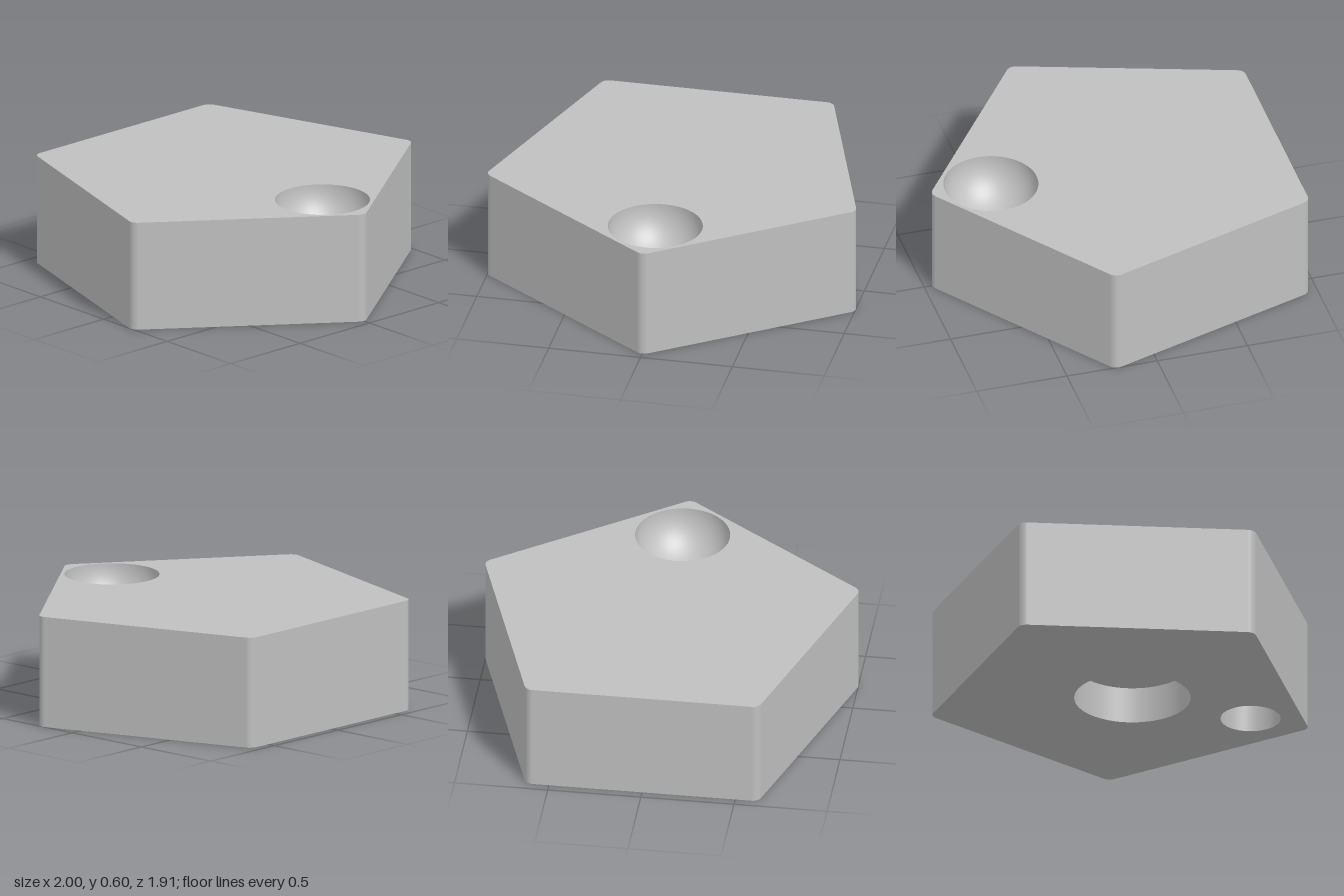
import * as THREE from 'three';

const HEIGHT = 0.6;
const CENTRE_Z = -0.095;   // pentagon centre
const CORNER_DIST = 1.0;   // centre to corner-arc centre
const CORNER_R = 0.05;
const CORNER_STEPS = 8;
const SEGMENTS = 64;

const dimple = { z: 0.63, r: 0.253 };
const pockets = [
  { name: 'centrePocket', z: -0.05, r: 0.31, depth: 0.2 },
  { name: 'smallPocket', z: 0.63, r: 0.16, depth: 0.2 },
];

// Rounded pentagon outline: position and outward normal at each point
function outline() {
  const points = [];
  for (let i = 0; i < 5; i++) {
    const mid = (i * 2 * Math.PI) / 5;
    for (let j = 0; j <= CORNER_STEPS; j++) {
      const a = mid + (j / CORNER_STEPS - 0.5) * ((2 * Math.PI) / 5);
      const nx = Math.sin(a), nz = Math.cos(a);
      points.push({
        x: CORNER_DIST * Math.sin(mid) + CORNER_R * nx,
        z: CENTRE_Z + CORNER_DIST * Math.cos(mid) + CORNER_R * nz,
        nx, nz,
      });
    }
  }
  return points;
}

// Side wall with flat sides and smooth corners
function wallGeometry(points) {
  const pos = [], nor = [], idx = [];
  points.forEach((p, i) => {
    pos.push(p.x, 0, p.z, p.x, HEIGHT, p.z);
    nor.push(p.nx, 0, p.nz, p.nx, 0, p.nz);
    const a = 2 * i, b = 2 * ((i + 1) % points.length);
    idx.push(a, b, b + 1, a, b + 1, a + 1);
  });
  const g = new THREE.BufferGeometry();
  g.setAttribute('position', new THREE.Float32BufferAttribute(pos, 3));
  g.setAttribute('normal', new THREE.Float32BufferAttribute(nor, 3));
  g.setIndex(idx);
  return g;
}

// Flat face with round openings; up = 1 faces up, up = -1 faces down
function capGeometry(points, holes, up) {
  const shape = new THREE.Shape(points.map((p) => new THREE.Vector2(p.x, -up * p.z)));
  for (const h of holes) {
    shape.holes.push(new THREE.Path().absarc(0, -up * h.z, h.r, 0, Math.PI * 2, true));
  }
  return new THREE.ShapeGeometry(shape, SEGMENTS / 2).rotateX((-up * Math.PI) / 2);
}

export function createModel() {
  const model = new THREE.Group();
  model.name = 'pentagonBlock';
  const grey = new THREE.MeshStandardMaterial({ color: 0xbfbfbf, side: THREE.DoubleSide });
  grey.name = 'grey';

  const add = (name, geometry, x = 0, y = 0, z = 0) => {
    const mesh = new THREE.Mesh(geometry, grey);
    mesh.name = name;
    mesh.position.set(x, y, z);
    model.add(mesh);
  };

  // Block
  const points = outline();
  add('sideWall', wallGeometry(points));
  add('topFace', capGeometry(points, [dimple], 1), 0, HEIGHT, 0);
  add('bottomFace', capGeometry(points, pockets, -1));

  // Hemispherical dimple in the top
  add('dimple',
    new THREE.SphereGeometry(dimple.r, SEGMENTS, 20, 0, Math.PI * 2, Math.PI / 2, Math.PI / 2),
    0, HEIGHT, dimple.z);

  // Blind round pockets in the underside
  for (const p of pockets) {
    add(p.name + 'Wall',
      new THREE.CylinderGeometry(p.r, p.r, p.depth, SEGMENTS, 1, true), 0, p.depth / 2, p.z);
    add(p.name + 'Floor',
      new THREE.CircleGeometry(p.r, SEGMENTS).rotateX(Math.PI / 2), 0, p.depth, p.z);
  }
  return model;
}
